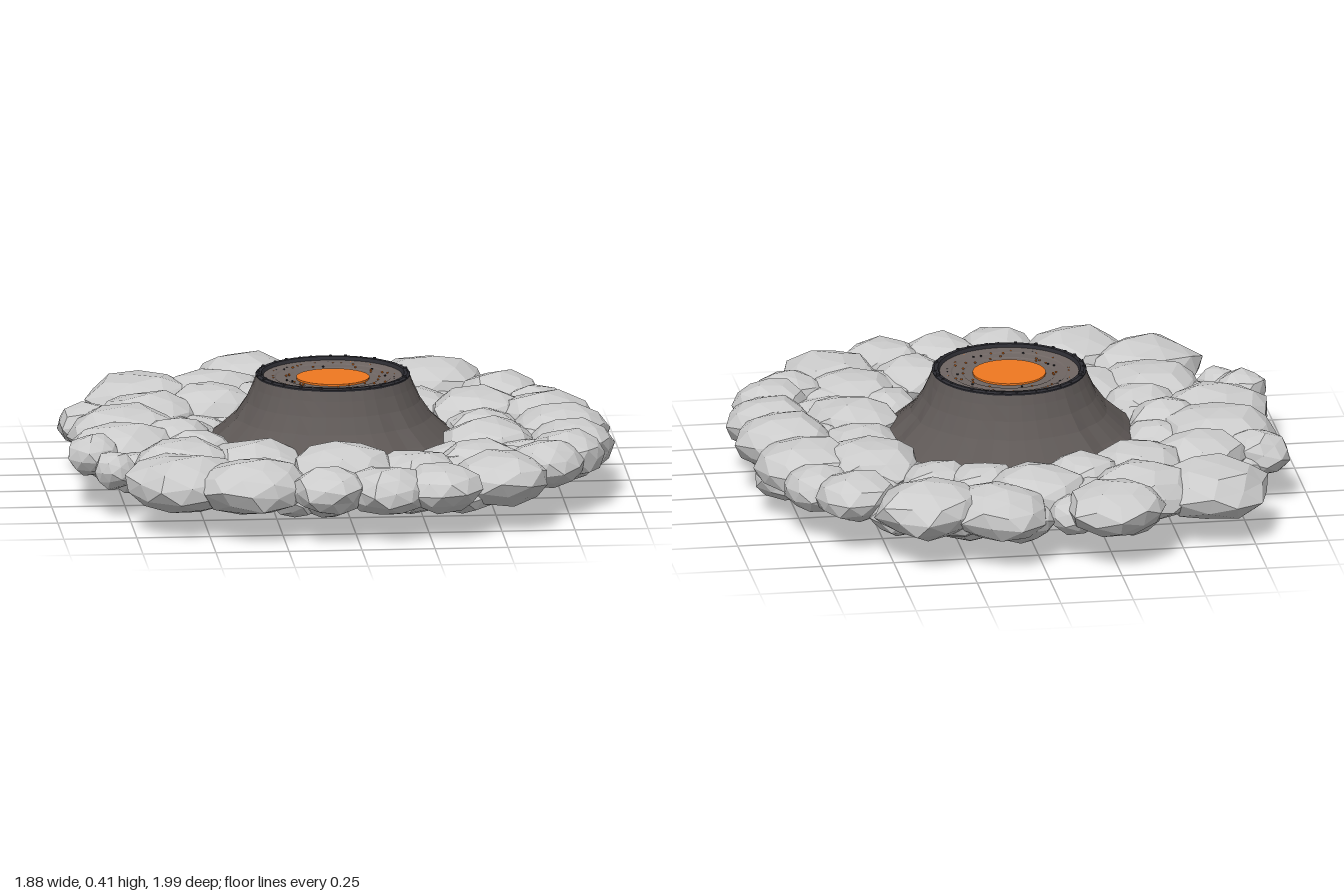
import * as THREE from 'three';

let seed = 7;
const rnd = () => (seed = (seed * 16807) % 2147483647) / 2147483647;
const mat = (color, extra = {}) => new THREE.MeshStandardMaterial({ color, flatShading: true, ...extra });

const CX = -0.02, CZ = 0.035; // axis of the cone

function add(parent, name, geometry, material, x = 0, y = 0, z = 0) {
  const mesh = new THREE.Mesh(geometry, material);
  mesh.name = name;
  mesh.position.set(x, y, z);
  parent.add(mesh);
  return mesh;
}

const lathe = (pts, n) => new THREE.LatheGeometry(pts.map(p => new THREE.Vector2(...p)), n);

// Low-poly flattened puff with a gently lumpy outline
function puffGeometry(r, h, phase) {
  const g = new THREE.IcosahedronGeometry(1, 1);
  g.rotateX(phase).rotateY(phase * 2.3);
  const p = g.attributes.position, v = new THREE.Vector3();
  for (let i = 0; i < p.count; i++) {
    v.fromBufferAttribute(p, i);
    v.multiplyScalar(1 + 0.07 * Math.sin(4 * v.x + 3 * v.y + 5 * v.z + phase * 9));
    p.setXYZ(i, v.x * r, v.y * h, v.z * r);
  }
  g.computeVertexNormals();
  return g;
}

// Main puffs: x, z, radius
const puffs = [
  [-0.25, -0.83, 0.17], [-0.62, -0.62, 0.2], [0.14, -0.78, 0.17], [0.37, -0.73, 0.19],
  [-0.02, -0.61, 0.18], [0.6, -0.55, 0.14], [0.71, -0.41, 0.12], [0.5, -0.27, 0.17],
  [0.3, -0.43, 0.13], [0.72, -0.2, 0.18], [0.76, 0.03, 0.17], [0.5, 0.19, 0.17],
  [0.78, 0.23, 0.15], [0.67, 0.5, 0.13], [0.75, 0.4, 0.13], [0.45, 0.48, 0.16],
  [0.5, 0.67, 0.17], [0.29, 0.8, 0.14], [0.1, 0.83, 0.14], [-0.1, 0.85, 0.13],
  [-0.03, 0.57, 0.18], [0.22, 0.6, 0.15], [-0.35, 0.76, 0.19], [-0.58, 0.64, 0.2],
  [-0.32, 0.4, 0.18], [-0.56, 0.4, 0.18], [-0.86, 0.29, 0.09], [-0.8, 0.42, 0.07],
  [-0.75, 0.13, 0.19], [-0.72, -0.1, 0.2], [-0.56, 0.05, 0.13], [-0.83, -0.28, 0.11],
  [-0.62, -0.32, 0.17], [-0.4, -0.42, 0.16], [-0.38, -0.64, 0.18], [-0.2, -0.49, 0.13],
  [-0.5, 0.22, 0.13], [0.5, -0.04, 0.14], [0.15, -0.5, 0.13],
];

function makeClouds() {
  const clouds = new THREE.Group();
  clouds.name = 'cloudRing';
  const grey = mat(0xcccccc);
  for (const [x, z, r] of puffs) {
    const h = 0.05 + 0.24 * r;
    add(clouds, 'cloudPuff', puffGeometry(r, h, rnd() * 6), grey, x, 0.155 + rnd() * 0.035, z);
  }
  // Smaller filler puffs packed in three rings through the underside
  [[0.52, 16, 0.13], [0.66, 20, 0.15], [0.79, 24, 0.11]].forEach(([ring, n, size]) => {
    for (let i = 0; i < n; i++) {
      const a = (i + rnd() * 0.5) / n * Math.PI * 2;
      const r = size * (0.85 + rnd() * 0.3);
      const y = 0.12 + rnd() * 0.035;
      add(clouds, 'fillerPuff', puffGeometry(r, 0.07, rnd() * 6), grey,
        ring * Math.cos(a), y, ring * Math.sin(a));
    }
  });
  // The lowest puffs, which reach the ground
  add(clouds, 'lowPuff', puffGeometry(0.18, 0.09, 1.3), grey, 0.2, 0.09, -0.52);
  add(clouds, 'lowPuff', puffGeometry(0.17, 0.085, 2.9), grey, -0.5, 0.105, 0.4);
  return clouds;
}

function makeVolcano() {
  const volcano = new THREE.Group();
  volcano.name = 'volcano';
  volcano.position.set(CX, 0, CZ);
  const rock = mat(0x5e5856), dark = mat(0x2b2b31), orange = mat(0xf07820);

  // Flared cone with a closed base; ridges deepen towards the foot
  const cone = lathe([[0, 0.1], [0.5, 0.1], [0.46, 0.15], [0.395, 0.2], [0.335, 0.255],
    [0.298, 0.31], [0.275, 0.36], [0.262, 0.395]], 40);
  const p = cone.attributes.position;
  for (let i = 0; i < p.count; i++) {
    const a = Math.atan2(p.getZ(i), p.getX(i));
    const k = 1 + (0.4 - p.getY(i)) * (0.07 * Math.sin(11 * a) + 0.06 * Math.sin(17 * a + 1));
    p.setX(i, p.getX(i) * k);
    p.setZ(i, p.getZ(i) * k);
  }
  cone.computeVertexNormals();
  add(volcano, 'cone', cone, rock);

  // Crater lip, stepped floor and lava
  add(volcano, 'craterRim', lathe([[0.262, 0.385], [0.264, 0.398], [0.256, 0.403], [0.244, 0.402], [0.236, 0.388]], 40), dark);
  add(volcano, 'craterFloor', lathe([[0.24, 0.391], [0.2, 0.388], [0.195, 0.385], [0.16, 0.384], [0.155, 0.381], [0, 0.38]], 40), mat(0x6f6663));
  add(volcano, 'lava', new THREE.CylinderGeometry(0.125, 0.125, 0.01, 32), orange, 0, 0.382, 0);

  // Embers and cinders scattered over the floor, and pebbles on the lip
  for (let i = 0; i < 60; i++) {
    const a = i * 2.4, r = 0.145 + 0.085 * rnd();
    const speck = add(volcano, i % 3 ? 'ember' : 'cinder', new THREE.IcosahedronGeometry(0.0045, 0),
      i % 3 ? orange : dark, r * Math.cos(a), 0.387, r * Math.sin(a));
    speck.scale.y = 0.8;
  }
  for (let i = 0; i < 28; i++) {
    const a = i / 28 * Math.PI * 2 + rnd() * 0.15;
    add(volcano, 'rimPebble', new THREE.IcosahedronGeometry(0.005 + rnd() * 0.005, 0), dark,
      0.255 * Math.cos(a), 0.4, 0.255 * Math.sin(a));
  }
  return volcano;
}

export function createModel() {
  seed = 7;
  const model = new THREE.Group();
  model.name = 'volcanoInClouds';
  model.add(makeClouds(), makeVolcano());
  return model;
}
